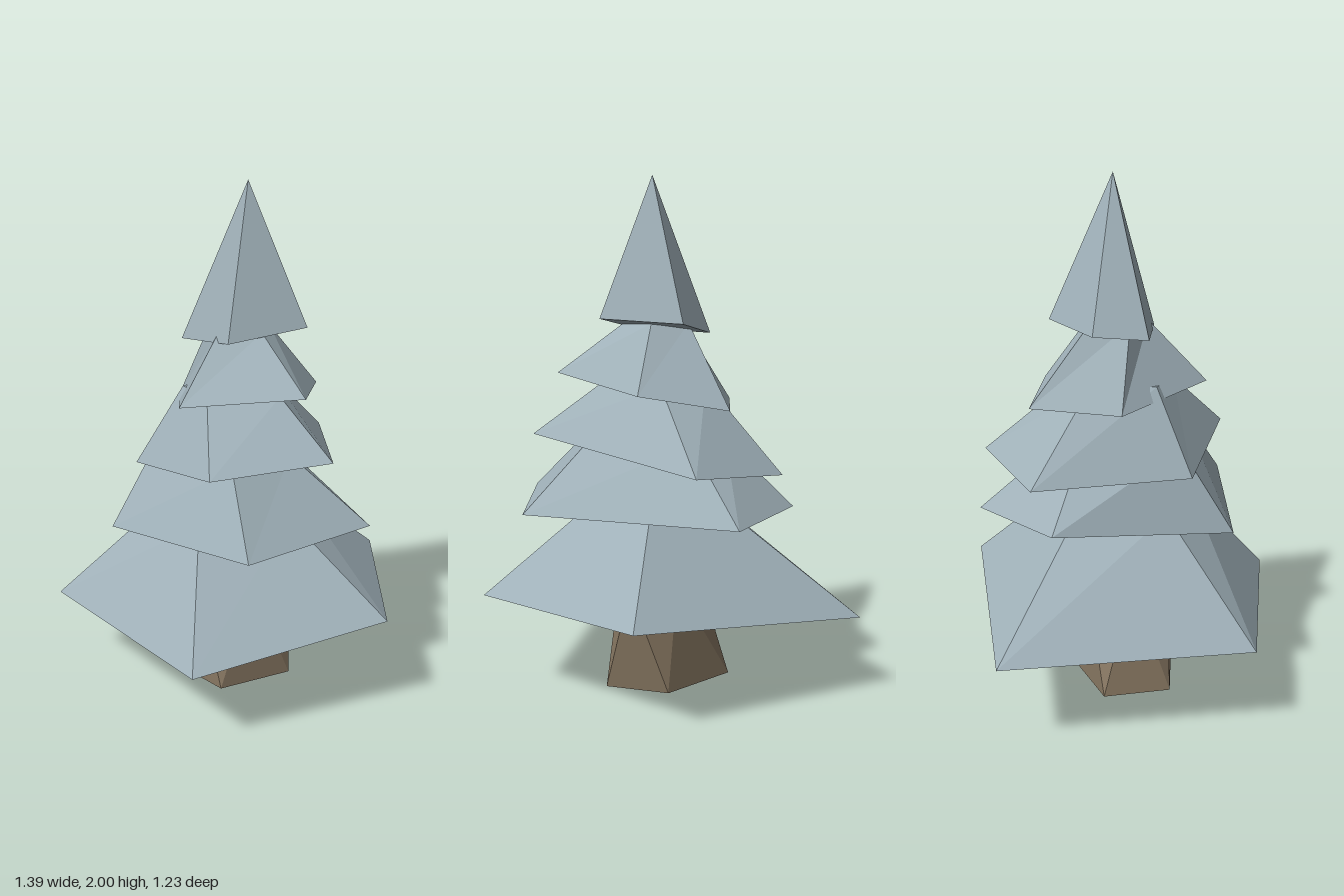
import * as THREE from 'three';

const leaf = new THREE.MeshStandardMaterial({ color: 0x9fb0b8, flatShading: true });
const bark = new THREE.MeshStandardMaterial({ color: 0x857560, flatShading: true });

// Closed solid between two five-cornered rings, both clockwise seen from above.
function loft(name, material, bottom, top) {
  const n = bottom.length;
  const index = [];
  for (let i = 0; i < n; i++) {
    const j = (i + 1) % n;
    index.push(j, i, n + i, j, n + i, n + j);
  }
  // Caps fan out from the front corner
  for (let k = 1; k < n - 1; k++) {
    const a = (3 + k) % n, b = (4 + k) % n;
    index.push(3, a, b, n + 3, n + b, n + a);
  }
  const geometry = new THREE.BufferGeometry();
  geometry.setAttribute('position', new THREE.Float32BufferAttribute([...bottom, ...top].flat(), 3));
  geometry.setIndex(index);
  const flat = geometry.toNonIndexed();
  flat.computeVertexNormals();
  const mesh = new THREE.Mesh(flat, material);
  mesh.name = name;
  return mesh;
}

// Lifts [x, z] corners to one height
const level = (y, ring) => ring.map(([x, z]) => [x, y, z]);

export function createModel() {
  const tree = new THREE.Group();
  tree.name = 'firTree';

  // Twisted, tapering trunk
  tree.add(loft('trunk', bark,
    level(0, [[0, -0.2], [0.22, -0.07], [0.09, 0.21], [-0.24, 0.19], [-0.295, -0.07]]),
    level(0.42, [[0.145, -0.155], [0.13, 0.06], [-0.06, 0.18], [-0.19, 0.04], [-0.05, -0.15]])));

  // Tilted skirts of branches, lowest first
  const tiers = [
    {
      bottom: [[-0.7, 0.33, -0.435], [0.245, 0.42, -0.615], [0.695, 0.42, -0.055], [0.31, 0.33, 0.61], [-0.56, 0.33, 0.485]],
      top: level(0.74, [[-0.22, -0.17], [0.09, -0.26], [0.26, 0], [0.045, 0.28], [-0.24, 0.17]]),
    },
    {
      bottom: [[-0.49, 0.74, -0.25], [-0.16, 0.74, -0.55], [0.55, 0.745, -0.13], [0.41, 0.74, 0.42], [-0.29, 0.685, 0.42]],
      top: level(1.0, [[-0.24, -0.15], [-0.08, -0.23], [0.26, 0], [0.2, 0.265], [-0.23, 0.22]]),
    },
    {
      bottom: [[-0.41, 0.885, -0.33], [0, 0.935, -0.545], [0.48, 1.025, 0.025], [0.22, 1.0, 0.41], [-0.31, 0.905, 0.26]],
      top: level(1.22, [[-0.17, -0.12], [0.03, -0.19], [0.21, 0], [0.02, 0.2], [-0.17, 0.13]]),
    },
    {
      bottom: [[-0.19, 1.14, -0.35], [0.15, 1.2, -0.31], [0.375, 1.255, 0.06], [0, 1.21, 0.33], [-0.31, 1.14, 0]],
      top: level(1.45, [[-0.1, -0.12], [0.05, -0.13], [0.12, 0], [-0.01, 0.1], [-0.12, 0.03]]),
    },
    {
      bottom: [[-0.19, 1.41, -0.11], [-0.03, 1.455, -0.28], [0.245, 1.47, -0.115], [0.06, 1.42, 0.125], [-0.2, 1.4, 0.1]],
      top: level(2, Array(5).fill([0.02, -0.035])),
    },
  ];
  tiers.forEach(({ bottom, top }, i) => {
    tree.add(loft(i < 4 ? `branchTier${i + 1}` : 'treeTop', leaf, bottom, top));
  });

  return tree;
}
